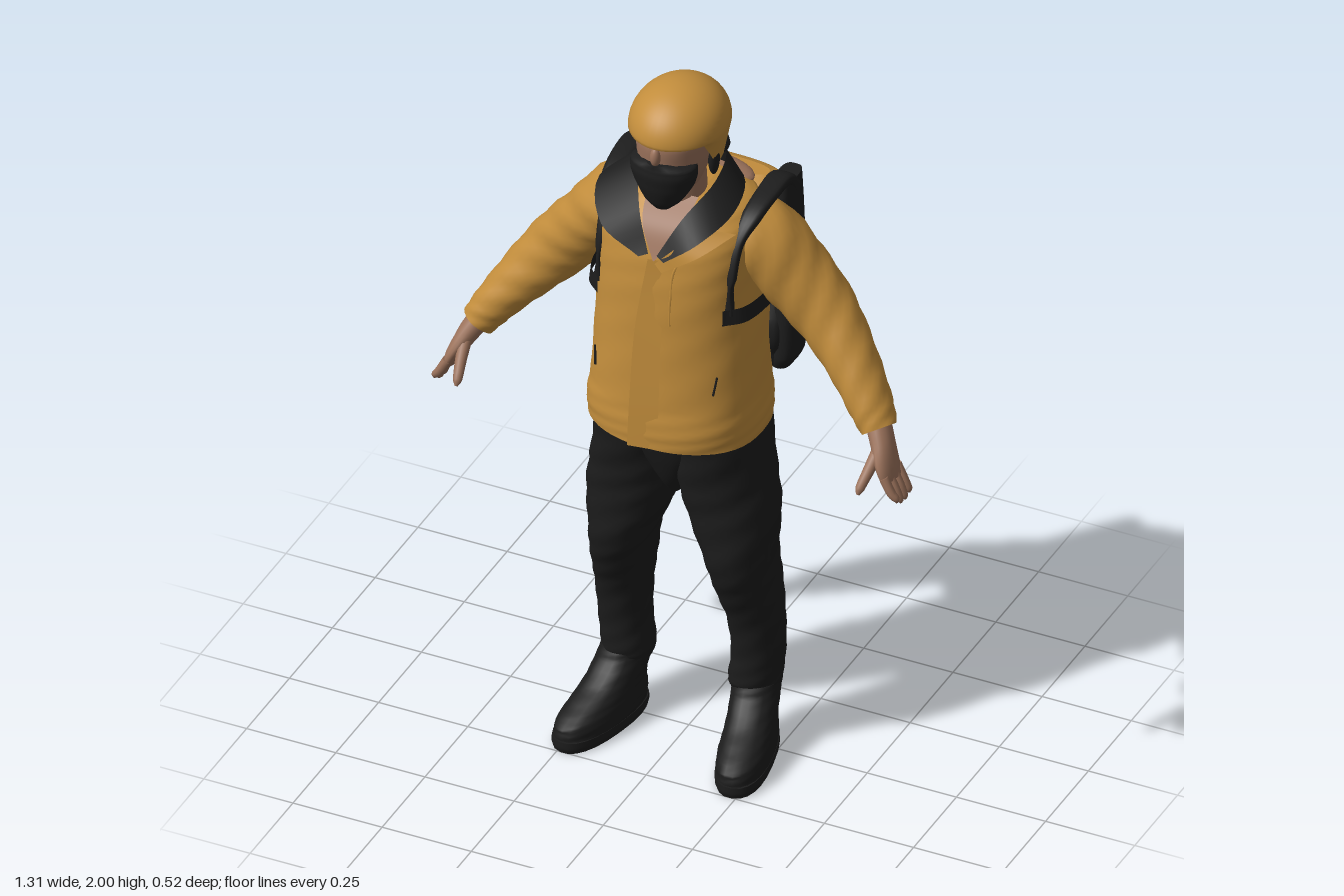
import * as THREE from 'three';
import { RoundedBoxGeometry } from 'three/addons/geometries/RoundedBoxGeometry.js';

const V = (a) => new THREE.Vector3(...a);
const mat = (name, color, double) => {
  const m = new THREE.MeshStandardMaterial({ color });
  m.name = name;
  if (double) m.side = THREE.DoubleSide;
  return m;
};
const X = new THREE.Vector3(1, 0, 0), Y = new THREE.Vector3(0, 1, 0), Z = new THREE.Vector3(0, 0, 1);

// Lofted body through sections [x, y, z, ru, rv]; rv is measured along ref.
// Level lofts keep their rings horizontal and must run upward.
function loft(sections, { level = false, ref = Z, n = 24, sub = 5, power = 2, fold = 0, waves = 3 } = {}) {
  const path = new THREE.CatmullRomCurve3(sections.map((s) => V(s.slice(0, 3))));
  const radii = new THREE.CatmullRomCurve3(sections.map((s) => V([s[3], s[4], 0])));
  const rows = (sections.length - 1) * sub, pos = [], idx = [];
  const round = (c) => Math.sign(c) * Math.abs(c) ** (2 / power);
  for (let i = 0; i <= rows; i++) {
    const c = path.getPoint(i / rows), r = radii.getPoint(i / rows);
    const t = level ? Y : path.getTangent(i / rows);
    const u = new THREE.Vector3().crossVectors(t, ref).normalize();
    const v = new THREE.Vector3().crossVectors(u, t).normalize();
    for (let j = 0; j < n; j++) {
      const a = (j / n) * Math.PI * 2;
      const k = 1 + fold * Math.sin(waves * a + i * 1.1) * Math.sin(i * 0.7 + a);
      const p = c.clone().addScaledVector(u, round(Math.cos(a)) * r.x * k)
        .addScaledVector(v, round(Math.sin(a)) * r.y * k);
      pos.push(p.x, p.y, p.z);
    }
  }
  for (let i = 0; i < rows; i++) for (let j = 0; j < n; j++) {
    const a = i * n + j, b = i * n + (j + 1) % n;
    idx.push(a, a + n, b, b, a + n, b + n);
  }
  // flat end caps with their own corners
  for (const row of [0, rows]) {
    const start = pos.length / 3, c = path.getPoint(row / rows);
    pos.push(...pos.slice(row * n * 3, (row + 1) * n * 3), c.x, c.y, c.z);
    for (let j = 0; j < n; j++) {
      const a = start + j, b = start + (j + 1) % n;
      row ? idx.push(a, start + n, b) : idx.push(a, b, start + n);
    }
  }
  return toGeometry(pos, idx);
}

function toGeometry(pos, idx) {
  const g = new THREE.BufferGeometry();
  g.setAttribute('position', new THREE.Float32BufferAttribute(pos, 3));
  g.setIndex(idx);
  g.computeVertexNormals();
  return g;
}

// Open cloth strip between two edge curves.
function ribbon(edgeA, edgeB, n = 20) {
  const a = new THREE.CatmullRomCurve3(edgeA.map(V)), b = new THREE.CatmullRomCurve3(edgeB.map(V));
  const pos = [], idx = [];
  for (let i = 0; i <= n; i++) {
    pos.push(...a.getPoint(i / n).toArray(), ...b.getPoint(i / n).toArray());
    if (i < n) idx.push(2 * i, 2 * i + 1, 2 * i + 2, 2 * i + 1, 2 * i + 3, 2 * i + 2);
  }
  return toGeometry(pos, idx);
}

const seam = (points, r) =>
  new THREE.TubeGeometry(new THREE.CatmullRomCurve3(points.map(V)), 24, r, 6);

// Dome whose skirt drops over the ears and nape.
function helmetShell() {
  const g = new THREE.SphereGeometry(1, 40, 28, 0, Math.PI * 2, 0, Math.PI * 0.64);
  const p = g.attributes.position, low = -Math.cos(Math.PI * 0.64);
  for (let i = 0; i < p.count; i++) {
    const x = p.getX(i), y = p.getY(i), z = p.getZ(i);
    const drop = 0.095 - 0.085 * THREE.MathUtils.smoothstep(z, 0.05, 0.5);
    const k = y < 0 ? (1 + 0.07 * y / low) * (1 + 0.08 * y / low) / Math.sqrt(1 - y * y) : 1;
    p.setXYZ(i, x * k * 0.127, 1.885 + (y > 0 ? y * 0.115 : (y / low) * drop), 0.052 + z * k * 0.152);
  }
  g.computeVertexNormals();
  return g;
}

export function createModel() {
  const root = new THREE.Group();
  root.name = 'hiker';
  const yellow = mat('ochre fabric', 0xc28d3c, true);
  const black = mat('black fabric', 0x1d1d1d, true);
  const trouser = mat('trouser cloth', 0x1c1c1c);
  const skin = mat('skin', 0x9c735c, true);
  const add = (name, geo, m, parent = root) => {
    const mesh = new THREE.Mesh(geo, m);
    mesh.name = name;
    parent.add(mesh);
    return mesh;
  };
  const ball = (name, scale, at, m) => {
    const b = add(name, new THREE.SphereGeometry(1, 24, 16), m);
    b.scale.set(...scale);
    b.position.set(...at);
  };

  // Head, mask and helmet
  add('head', loft([[0, 1.705, 0.11, 0.04, 0.05], [0, 1.74, 0.09, 0.07, 0.085], [0, 1.82, 0.075, 0.094, 0.119],
    [0, 1.88, 0.07, 0.1, 0.126], [0, 1.94, 0.06, 0.07, 0.09]], { level: true }), skin);
  add('neck', loft([[0, 1.56, 0.05, 0.09, 0.08], [0, 1.65, 0.045, 0.068, 0.07], [0, 1.76, 0.05, 0.064, 0.07]], { level: true }), skin);
  ball('nose', [0.014, 0.028, 0.016], [0, 1.858, 0.195], skin);
  add('faceMask', loft([[0, 1.685, 0.155, 0.022, 0.018], [0, 1.71, 0.147, 0.05, 0.045], [0, 1.76, 0.14, 0.08, 0.068],
    [0, 1.8, 0.145, 0.09, 0.069], [0, 1.82, 0.145, 0.088, 0.067], [0, 1.838, 0.15, 0.04, 0.06]], { level: true }), black);
  add('helmet', helmetShell(), yellow);
  ball('napePad', [0.1, 0.042, 0.065], [0, 1.785, -0.025], black);

  // Jacket
  add('jacketBody', loft([[0, 1.0, 0.048, 0.232, 0.2], [0, 1.05, 0.047, 0.235, 0.202], [0, 1.12, 0.043, 0.228, 0.198],
    [0, 1.3, 0.034, 0.22, 0.193], [0, 1.45, 0.03, 0.212, 0.187], [0, 1.55, 0.025, 0.21, 0.176],
    [0, 1.61, 0.018, 0.205, 0.158], [0, 1.65, 0.002, 0.18, 0.13], [0, 1.672, 0, 0.13, 0.105], [0, 1.685, 0, 0.06, 0.07]],
    { level: true, power: 2.35, n: 48, fold: 0.008, waves: 5 }), yellow);
  add('frontFlap', ribbon([[-0.05, 1.0, 0.258], [-0.048, 1.15, 0.247], [-0.04, 1.35, 0.232], [-0.015, 1.55, 0.21]],
    [[0.03, 1.0, 0.246], [0.03, 1.15, 0.239], [0.03, 1.35, 0.224], [0.04, 1.55, 0.198]]), yellow);
  add('chestPocketSeam', seam([[0.05, 1.37, 0.219], [0.05, 1.45, 0.212], [0.06, 1.54, 0.195], [0.13, 1.58, 0.157]], 0.004), yellow);
  add('throat', ribbon([[-0.07, 1.69, 0.09], [-0.05, 1.63, 0.168], [0, 1.55, 0.212]],
    [[0.07, 1.69, 0.09], [0.055, 1.63, 0.168], [0.004, 1.55, 0.212]]), skin);
  ball('upperBackSkin', [0.138, 0.026, 0.066], [0, 1.655, -0.092], skin);
  add('openLapel', ribbon([[0.01, 1.55, 0.222], [0.06, 1.6, 0.205], [0.12, 1.645, 0.15]],
    [[0.03, 1.53, 0.225], [0.12, 1.585, 0.2], [0.19, 1.63, 0.12]]), yellow);

  for (const s of [1, -1]) {
    const side = s > 0 ? 'left' : 'right';
    const m = (rows) => rows.map(([x, ...rest]) => [x * s, ...rest]);
    ball(side + 'HelmetStrap', [0.014, 0.05, 0.02], [0.1 * s, 1.805, 0.062], black);

    // Collar half, rising from the throat to the nape; the right one folds out wider
    const flap = s > 0 ? [[0.115, 1.62, 0.195], [0.165, 1.665, 0.08]] : [[0.155, 1.605, 0.19], [0.215, 1.665, 0.075]];
    add(side + 'Collar', ribbon(
      m([[0.012, 1.57, 0.214], [0.06, 1.665, 0.165], [0.105, 1.735, 0.06], [0.09, 1.77, -0.03], [0, 1.775, -0.085]]),
      m([[0.035, 1.56, 0.222], ...flap, [0.13, 1.69, -0.05], [0, 1.69, -0.1]])), black);
    add(side + 'PocketZip', seam(m([[0.165, 1.18, 0.203], [0.168, 1.205, 0.197], [0.171, 1.23, 0.192]]), 0.003), black);

    // Sleeve, cuff and hand
    add(side + 'Sleeve', loft(m([[0.1, 1.575, 0, 0.08, 0.1], [0.19, 1.545, -0.02, 0.102, 0.11], [0.28, 1.45, -0.033, 0.094, 0.097],
      [0.37, 1.35, -0.032, 0.085, 0.085], [0.46, 1.245, 0, 0.07, 0.073], [0.53, 1.155, 0.038, 0.056, 0.06], [0.562, 1.108, 0.058, 0.045, 0.05]]),
      { fold: 0.05 }), yellow);
    add(side + 'Palm', loft(m([[0.55, 1.13, 0.045, 0.032, 0.036], [0.58, 1.08, 0.075, 0.028, 0.04],
      [0.605, 1.03, 0.097, 0.021, 0.05], [0.618, 1.0, 0.1, 0.016, 0.045]]), { n: 16 }), skin);
    [0.062, 0.087, 0.112, 0.136].forEach((z, i) => {
      const tip = [0.942, 0.936, 0.94, 0.955][i];
      add(side + 'Finger' + (i + 1), loft(m([[0.612, 1.02, z, 0.013, 0.013], [0.634, 0.98, z + 0.002, 0.012, 0.012],
        [0.646, tip + 0.01, z, 0.01, 0.01], [0.648, tip, z, 0.003, 0.003]]), { n: 10, sub: 3 }), skin);
    });
    add(side + 'Thumb', loft(m([[0.58, 1.075, 0.095, 0.018, 0.018], [0.572, 1.035, 0.14, 0.015, 0.015],
      [0.564, 0.998, 0.177, 0.012, 0.012], [0.563, 0.985, 0.187, 0.004, 0.004]]), { ref: X, n: 10, sub: 3 }), skin);

    // Backpack straps, side panel and side pouch
    add(side + 'ShoulderStrap', loft(m([[0.184, 1.4, 0.145, 0.012, 0.012], [0.184, 1.5, 0.134, 0.012, 0.012], [0.187, 1.59, 0.1, 0.012, 0.014],
      [0.198, 1.642, 0.045, 0.014, 0.026], [0.203, 1.665, -0.04, 0.014, 0.03], [0.203, 1.662, -0.12, 0.016, 0.032],
      [0.205, 1.61, -0.165, 0.025, 0.03]]), { ref: X, n: 16, power: 3 }), black);
    add(side + 'ChestStrap', ribbon(m([[0.175, 1.42, 0.168], [0.215, 1.42, 0.125], [0.235, 1.42, 0.02], [0.235, 1.42, -0.1]]),
      m([[0.175, 1.375, 0.17], [0.22, 1.375, 0.125], [0.24, 1.375, 0.02], [0.24, 1.375, -0.1]])), black);
    add(side + 'PackSide', loft(m([[0.205, 1.135, -0.115, 0.03, 0.07], [0.21, 1.18, -0.12, 0.035, 0.085], [0.212, 1.32, -0.125, 0.035, 0.085],
      [0.208, 1.42, -0.137, 0.032, 0.075], [0.205, 1.56, -0.145, 0.03, 0.063], [0.203, 1.655, -0.15, 0.028, 0.052]]),
      { level: true, power: 3 }), black);
    add(side + 'PackPouch', loft(m([[0.225, 1.13, -0.085, 0.025, 0.04], [0.24, 1.17, -0.085, 0.033, 0.055], [0.244, 1.28, -0.085, 0.035, 0.058],
      [0.24, 1.36, -0.09, 0.033, 0.055], [0.215, 1.43, -0.11, 0.025, 0.04]]), { level: true, power: 2.4 }), black);

    // Trouser leg with cargo pocket
    add(side + 'TrouserLeg', loft(m([[0.178, 0.165, -0.02, 0.06, 0.064], [0.178, 0.2, -0.02, 0.068, 0.072], [0.186, 0.28, -0.02, 0.069, 0.074],
      [0.184, 0.4, -0.008, 0.071, 0.086], [0.174, 0.5, 0.012, 0.078, 0.105], [0.163, 0.6, 0.03, 0.088, 0.12],
      [0.139, 0.74, 0.028, 0.118, 0.13], [0.118, 0.86, 0.028, 0.121, 0.14], [0.11, 1.01, 0.028, 0.11, 0.162]]),
      { level: true, fold: 0.035, power: 2.15 }), trouser);
    const pocket = add(side + 'CargoPocket', new RoundedBoxGeometry(0.05, 0.19, 0.1, 4, 0.024), trouser);
    pocket.position.set(0.216 * s, 0.68, 0.075);
    pocket.rotation.y = -0.45 * s;

    // Boot, turned slightly outward
    const boot = new THREE.Group();
    boot.name = side + 'Boot';
    boot.position.set(0.187 * s, 0, 0);
    boot.rotation.y = 0.21 * s;
    root.add(boot);
    add(side + 'BootSole', loft([[0, 0, 0.09, 0.066, 0.167], [0, 0.015, 0.09, 0.07, 0.171], [0, 0.032, 0.09, 0.069, 0.17]],
      { level: true, power: 2.4 }), trouser, boot);
    add(side + 'BootUpper', loft([[0, 0.028, 0.09, 0.068, 0.167], [0, 0.06, 0.085, 0.068, 0.162], [0, 0.09, 0.06, 0.064, 0.134],
      [0, 0.125, 0.025, 0.061, 0.097], [0, 0.17, -0.008, 0.061, 0.075], [0, 0.2, -0.018, 0.058, 0.066]],
      { level: true, power: 2.3, fold: 0.015 }), trouser, boot);
  }

  // Trouser seat joining the legs under the jacket
  add('trouserSeat', loft([[0, 0.775, 0.028, 0.02, 0.07], [0, 0.82, 0.028, 0.045, 0.1], [0, 0.88, 0.028, 0.09, 0.125],
    [0, 0.96, 0.028, 0.17, 0.148], [0, 1.01, 0.028, 0.2, 0.158]], { level: true, power: 2.4, n: 36 }), trouser);

  // Backpack: two padded sections
  const pack = { level: true, power: 3, n: 36 };
  add('packUpper', loft([[0, 1.335, -0.15, 0.195, 0.09], [0, 1.36, -0.15, 0.203, 0.1], [0, 1.46, -0.15, 0.2, 0.1],
    [0, 1.57, -0.15, 0.19, 0.087], [0, 1.625, -0.155, 0.178, 0.06], [0, 1.64, -0.155, 0.15, 0.03]], pack), yellow);
  add('packLower', loft([[0, 1.105, -0.145, 0.16, 0.06], [0, 1.125, -0.15, 0.19, 0.09], [0, 1.2, -0.15, 0.206, 0.11],
    [0, 1.3, -0.15, 0.208, 0.112], [0, 1.345, -0.15, 0.202, 0.105], [0, 1.358, -0.15, 0.19, 0.09]], pack), yellow);
  return root;
}
